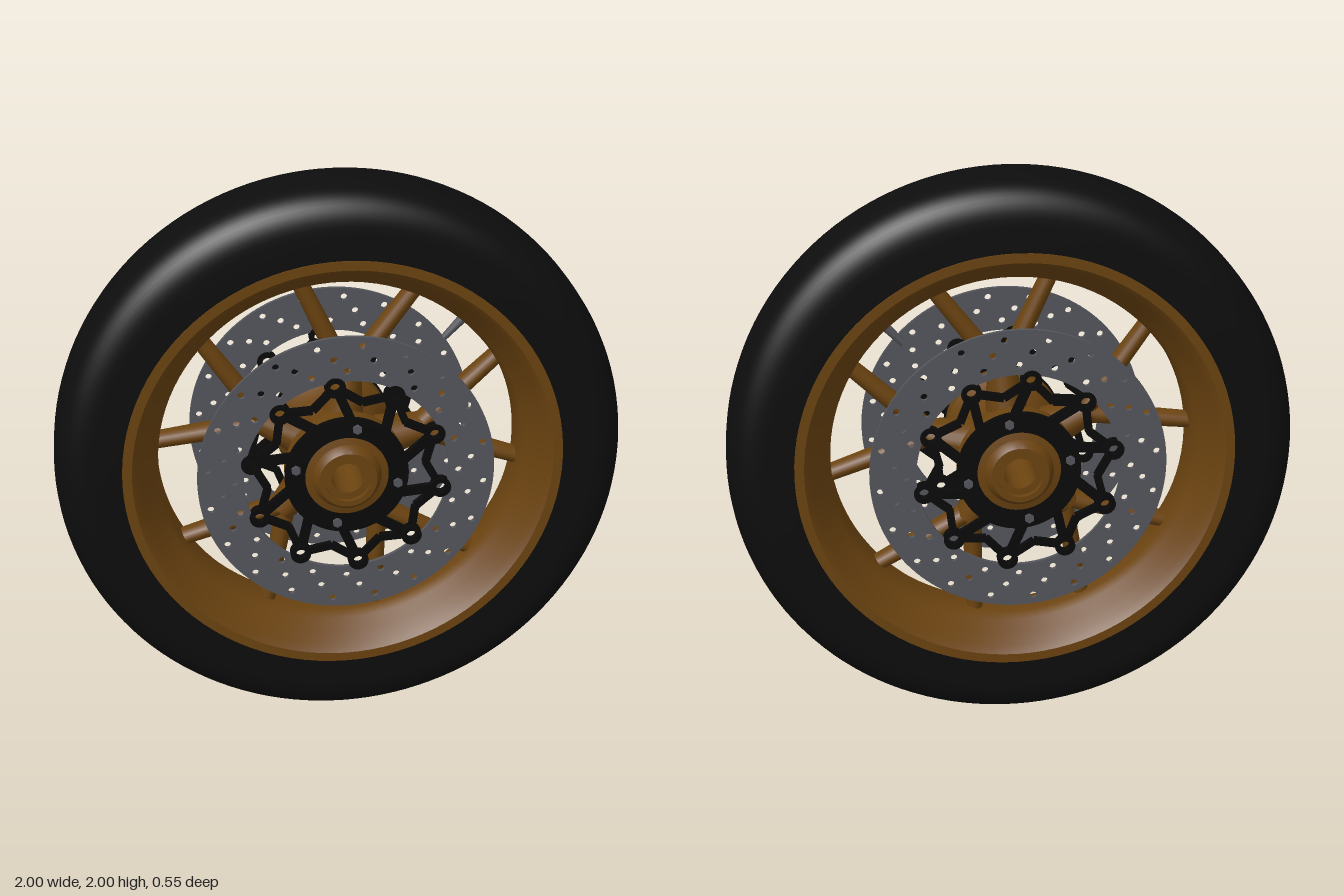
import * as THREE from 'three';
import { toCreasedNormals } from 'three/addons/utils/BufferGeometryUtils.js';

const mat = (name, color) => {
  const m = new THREE.MeshStandardMaterial({ color });
  m.name = name;
  return m;
};
const rad = THREE.MathUtils.degToRad;
// point in the wheel plane from radius and angle in degrees
const polar = (r, a) => new THREE.Vector2(r * Math.cos(rad(a)), r * Math.sin(rad(a)));

export function createModel() {
  const rubber = mat('tyre rubber', 0x0d0d0d);
  const bronze = mat('bronze metal', 0x6b4310);
  const steel = mat('brake steel', 0x54565c);
  const black = mat('black carrier', 0x090909);

  const model = new THREE.Group();
  model.name = 'wheel';
  const wheel = new THREE.Group();
  wheel.name = 'wheelAssembly';
  wheel.position.y = 1;
  model.add(wheel);

  const add = (parent, name, geo, material, x = 0, y = 0, z = 0) => {
    const m = new THREE.Mesh(geo, material);
    m.name = name;
    m.position.set(x, y, z);
    parent.add(m);
    return m;
  };

  // profile of [radius, z] pairs spun around the axle
  const spin = (pts, crease = 0.5, segments = 96) => {
    const g = new THREE.LatheGeometry(pts.map(p => new THREE.Vector2(p[0], p[1])), segments);
    return toCreasedNormals(g.rotateX(Math.PI / 2), crease);
  };
  const mirrored = half => [...half, ...half.map(([r, z]) => [r, -z]).reverse()];

  // flat ring with optional round holes, centred on z = 0
  const ring = (outer, inner, depth, holes = [], segments = 24) => {
    const s = new THREE.Shape().absarc(0, 0, outer, 0, Math.PI * 2, false);
    s.holes.push(new THREE.Path().absarc(0, 0, inner, 0, Math.PI * 2, true));
    for (const [p, r] of holes) s.holes.push(new THREE.Path().absarc(p.x, p.y, r, 0, Math.PI * 2, true));
    const g = new THREE.ExtrudeGeometry(s, { depth, bevelEnabled: false, curveSegments: segments });
    return g.translate(0, 0, -depth / 2);
  };

  // straight bar between two points in the wheel plane
  const bar = (parent, name, p, q, width, depth, material) => {
    const d = q.clone().sub(p);
    const m = add(parent, name, new THREE.BoxGeometry(d.length(), width, depth), material, (p.x + q.x) / 2, (p.y + q.y) / 2);
    m.rotation.z = d.angle();
    return m;
  };

  // tyre
  const tyreHalf = [[0.765, -0.2], [0.86, -0.2]];
  for (let i = 1; i <= 12; i++) {
    const t = (i / 12) * Math.PI / 2;
    tyreHalf.push([0.86 + 0.14 * Math.pow(Math.sin(t), 0.85), -0.2 * Math.pow(Math.cos(t), 0.62)]);
  }
  tyreHalf[tyreHalf.length - 1] = [1, 0];
  add(wheel, 'tyre', spin([...tyreHalf, ...tyreHalf.slice(0, -1).map(([r, z]) => [r, -z]).reverse()], 0.8, 128), rubber);

  // rim, lip to lip across the inner barrel
  add(wheel, 'rim', spin([
    [0.77, 0.19], [0.768, 0.203], [0.735, 0.203], [0.71, 0.18], [0.69, 0.13], [0.655, 0.09], [0.64, 0.05],
    [0.64, -0.05], [0.655, -0.09], [0.69, -0.13], [0.71, -0.18], [0.735, -0.203], [0.768, -0.203], [0.77, -0.19],
  ]), bronze);

  // hub with flanges, end caps and a through bore
  add(wheel, 'hub', spin(mirrored([
    [0.165, 0], [0.17, 0.09], [0.21, 0.16], [0.21, 0.217], [0.145, 0.217], [0.145, 0.238], [0.12, 0.244],
    [0.112, 0.262], [0.1, 0.275], [0.08, 0.275], [0.08, 0.258], [0.055, 0.258], [0.055, 0],
  ]), 0.5, 64), bronze);

  // five V-shaped pairs of spokes
  for (let i = 0; i < 5; i++) {
    const a = 84 - i * 72;
    const root = polar(0.28, a);
    const oval = (name, p, q, r0, r1) => {
      const d = q.clone().sub(p);
      const g = new THREE.CylinderGeometry(r1, r0, d.length(), 20).scale(1, 1, 1.4);
      add(wheel, name, g, bronze, (p.x + q.x) / 2, (p.y + q.y) / 2).rotation.z = d.angle() - Math.PI / 2;
    };
    oval('spokeRoot', polar(0.14, a), polar(0.31, a), 0.075, 0.048);
    for (const s of [-18.4, 18.4]) oval('spoke', root, polar(0.66, a + s), 0.036, 0.029);
  }

  // valve stem
  const v = polar(0.6, 47);
  add(wheel, 'valveStem', new THREE.CylinderGeometry(0.018, 0.012, 0.11, 12), steel, v.x, v.y).rotation.z = rad(47 - 90);

  // drilled disc, carrier and bolts on each side
  const drill = [];
  for (let i = 0; i < 20; i++) {
    [0.39, 0.435, 0.482].forEach((r, k) => drill.push([polar(r, i * 18 + k * 6), 0.012]));
  }
  const discGeo = ring(0.515, 0.355, 0.014, drill, 64);
  const flangeGeo = ring(0.215, 0.145, 0.022, [], 32);
  const bobbinGeo = ring(0.036, 0.018, 0.032, [], 12);
  const boltGeo = new THREE.CylinderGeometry(0.017, 0.017, 0.034, 6).rotateX(Math.PI / 2);

  for (const side of [1, -1]) {
    const brake = new THREE.Group();
    brake.name = side > 0 ? 'frontBrake' : 'backBrake';
    brake.position.z = side * 0.229;
    wheel.add(brake);
    add(brake, 'brakeDisc', discGeo, steel, 0, 0, side * 0.003);
    add(brake, 'carrierRing', flangeGeo, black);
    for (let i = 0; i < 10; i++) {
      const a = 97 - i * 36;
      const tip = polar(0.335, a);
      add(brake, 'bobbin', bobbinGeo, black, tip.x, tip.y);
      // slanted arm and the bowed links to the neighbouring tips
      bar(brake, 'carrierArm', polar(0.2, a - 12), polar(0.311, a - 1.5), 0.032, 0.02, black);
      const mid = polar(0.276, a + 18);
      bar(brake, 'carrierLink', polar(0.318, a + 3.5), mid, 0.026, 0.02, black);
      bar(brake, 'carrierLink', mid, polar(0.318, a + 32.5), 0.026, 0.02, black);
    }
    for (let i = 0; i < 4; i++) {
      const p = polar(0.18, 79 + i * 90);
      add(brake, 'carrierBolt', boltGeo, steel, p.x, p.y, side * 0.005);
    }
  }
  return model;
}
